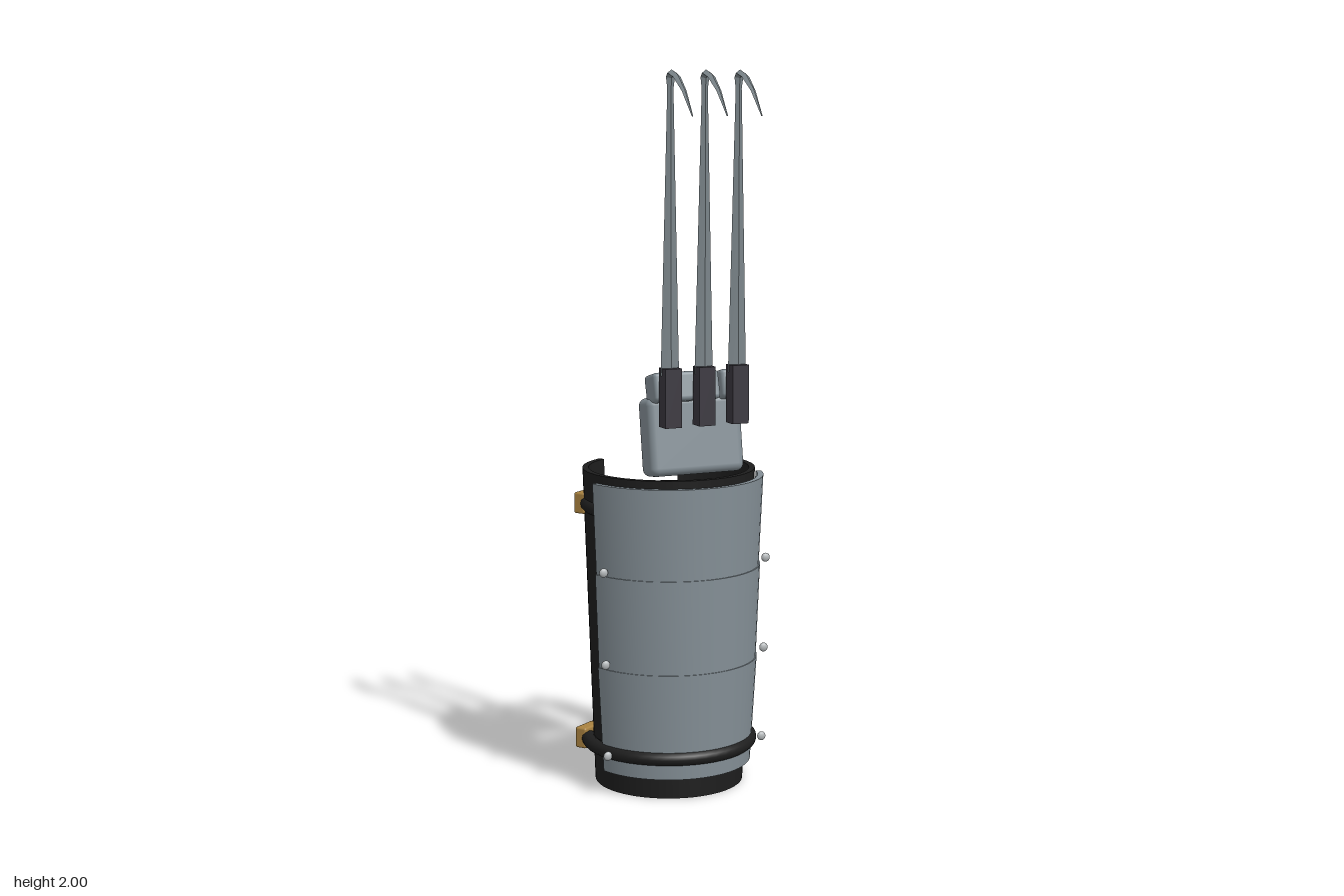
import * as THREE from 'three';
import { toCreasedNormals } from 'three/addons/utils/BufferGeometryUtils.js';
import { RoundedBoxGeometry } from 'three/addons/geometries/RoundedBoxGeometry.js';

const AXIS_Z = -0.06; // the sleeve's centre line

const material = (name, color) => Object.assign(new THREE.MeshStandardMaterial({ color }), { name });

// Joins matching cross-sections into a closed, capped solid
function loft(sections, crease) {
  const n = sections[0].length;
  const positions = sections.flat(2);
  const index = [];
  for (let i = 0; i < sections.length - 1; i++) {
    for (let j = 0; j < n; j++) {
      const a = i * n + j, b = i * n + (j + 1) % n;
      index.push(a, b, b + n, a, b + n, a + n);
    }
  }
  const last = (sections.length - 1) * n;
  for (let j = 1; j < n - 1; j++) {
    index.push(0, j + 1, j, last, last + j, last + j + 1);
  }
  const g = new THREE.BufferGeometry();
  g.setAttribute('position', new THREE.Float32BufferAttribute(positions, 3));
  g.setIndex(index);
  return toCreasedNormals(g, crease);
}

// Tapered curved wall, spanning +-halfAngle around the front
function shell(y0, y1, r0, r1, thickness, halfAngle, steps) {
  const profile = [[r0 - thickness, y0], [r1 - thickness, y1], [r1, y1], [r0, y0]];
  const sections = [];
  for (let i = 0; i <= steps; i++) {
    const a = halfAngle * (2 * i / steps - 1);
    sections.push(profile.map(([r, y]) => [r * Math.sin(a), y, AXIS_Z + r * Math.cos(a)]));
  }
  return loft(sections, 0.6);
}

// Diamond-section blade bending forward into a hooked point
function bladeGeometry() {
  // y, z, bend angle, half width, half thickness
  const stations = [
    [1.19, 0.168, 0, 0.027, 0.009],
    [1.95, 0.172, 0, 0.009, 0.005],
    [1.98, 0.173, 0.4, 0.013, 0.007],
    [1.991, 0.182, 1.3, 0.013, 0.009],
    [1.981, 0.212, 1.95, 0.011, 0.008],
    [1.945, 0.258, 2.3, 0.007, 0.005],
    [1.88, 0.31, 2.5, 0.002, 0.001],
  ];
  return loft(stations.map(([y, z, bend, w, t]) => {
    const ny = Math.sin(bend) * t, nz = -Math.cos(bend) * t;
    return [[w, y, z], [0, y + ny, z + nz], [-w, y, z], [0, y - ny, z - nz]];
  }), 0.3);
}

export function createModel() {
  const leather = material('black leather', 0x1e1e1e);
  const steel = material('plate steel', 0x859097);
  const bladeSteel = material('blade steel', 0x7c868b);
  const darkMetal = material('dark metal', 0x3b3840);
  const brass = material('brass', 0xa98240);
  const rivetMetal = material('rivet metal', 0xb4b8ba);

  const model = new THREE.Group();
  model.name = 'clawGauntlet';
  const add = (name, geometry, mat, x = 0, y = 0, z = 0) => {
    const mesh = new THREE.Mesh(geometry, mat);
    mesh.name = name;
    mesh.position.set(x, y, z);
    model.add(mesh);
    return mesh;
  };

  // Forearm sleeve, open along the back
  add('sleeve', shell(0, 0.9, 0.21, 0.242, 0.017, Math.PI - 0.54, 48), leather);

  // Overlapping front plates: bottom, top, lower radius, upper radius
  [[0.06, 0.36, 0.232, 0.25], [0.355, 0.625, 0.247, 0.258], [0.62, 0.88, 0.254, 0.266]]
    .forEach(([y0, y1, r0, r1]) => add('armPlate', shell(y0, y1, r0, r1, 0.016, 1.33, 28), steel));

  // Rivets on both sides of each plate
  for (const [y, x] of [[0.12, 0.238], [0.38, 0.243], [0.64, 0.248]]) {
    for (const side of [-1, 1]) {
      add('rivet', new THREE.SphereGeometry(0.013, 12, 8), rivetMetal, side * x, y, 0.055)
        .scale.set(1, 1, 0.6);
    }
  }

  // Straps with buckles
  for (const y of [0.12, 0.8]) {
    add('strap', new THREE.TorusGeometry(0.23, 0.02, 12, 48), leather, 0, y, AXIS_Z)
      .rotation.x = Math.PI / 2;
    add('buckle', new RoundedBoxGeometry(0.08, 0.06, 0.036, 2, 0.006), brass, -0.207, y, -0.162)
      .rotation.y = 0.58;
  }

  // Hand guard and four finger guards
  add('handGuard', new RoundedBoxGeometry(0.28, 0.215, 0.085, 4, 0.022), steel, 0, 1.012, 0.09)
    .rotation.x = -0.15;
  for (let i = 0; i < 4; i++) {
    add('fingerGuard', new RoundedBoxGeometry(0.06, 0.08, 0.075, 3, 0.012), steel,
      (i - 1.5) * 0.067, 1.147, 0.105).rotation.x = -0.26;
  }

  // Three hooked blades in their holders
  const blade = bladeGeometry();
  for (const x of [-0.1, 0, 0.1]) {
    add('bladeHolder', new THREE.BoxGeometry(0.048, 0.16, 0.043), darkMetal, x, 1.13, 0.172);
    add('blade', blade, bladeSteel, x);
  }
  return model;
}
